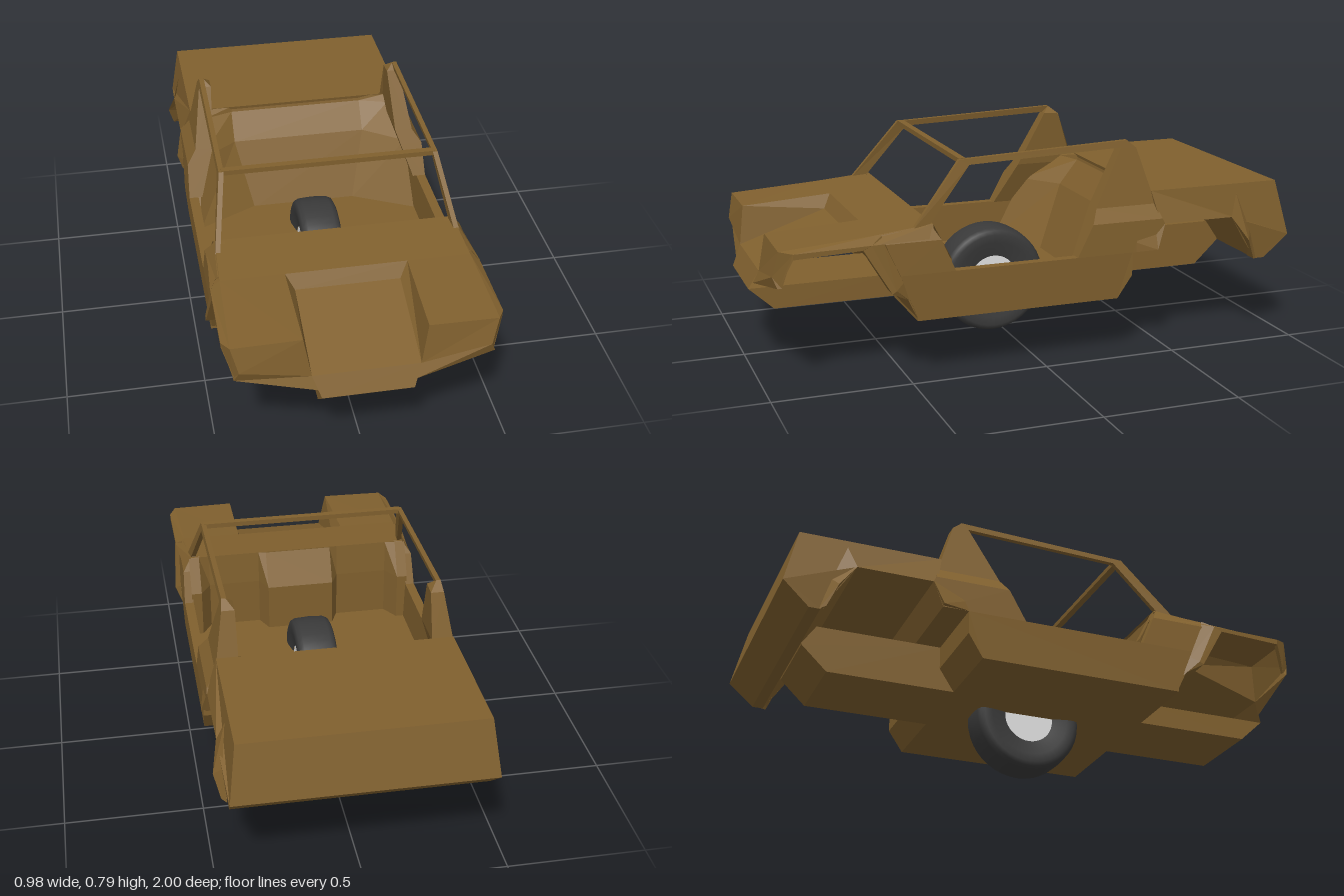
import * as THREE from 'three';

const bodyPaint = new THREE.MeshStandardMaterial({ color: 0x80602e, side: THREE.DoubleSide });
bodyPaint.name = 'bronze body paint';
const rubber = new THREE.MeshStandardMaterial({ color: 0x3a3a3a, side: THREE.DoubleSide });
rubber.name = 'dark rubber';
const hubMetal = new THREE.MeshStandardMaterial({ color: 0xe2e2e2 });
hubMetal.name = 'pale hub metal';

// Piecewise linear curve through [input, output] pairs
const ramp = (pairs) => (v) => {
  if (v <= pairs[0][0]) return pairs[0][1];
  for (let i = 1; i < pairs.length; i++) {
    const [a, p] = pairs[i - 1], [b, q] = pairs[i];
    if (v <= b) return p + ((q - p) * (v - a)) / (b - a);
  }
  return pairs[pairs.length - 1][1];
};

// Half width of the body sides by height
const bodySide = ramp([[0.215, 0.465], [0.33, 0.472], [0.5, 0.465], [0.55, 0.43], [0.785, 0.39]]);

export function createModel() {
  const model = new THREE.Group();
  model.name = 'carBody';

  const add = (name, geometry, material = bodyPaint) => {
    const mesh = new THREE.Mesh(geometry, material);
    mesh.name = name;
    model.add(mesh);
    return mesh;
  };

  // Side outline of [z, y] points, extruded across x between two width rules
  const prism = (name, outline, inner, outer) => {
    const shape = new THREE.Shape(outline.map(([z, y]) => new THREE.Vector2(z, y)));
    const g = new THREE.ExtrudeGeometry(shape, { depth: 1, bevelEnabled: false });
    const p = g.attributes.position;
    for (let i = 0; i < p.count; i++) {
      const z = p.getX(i), y = p.getY(i), t = p.getZ(i);
      p.setXYZ(i, t > 0.5 ? outer(y) : inner(y), y, z);
    }
    g.computeVertexNormals();
    return add(name, g);
  };
  const cross = (name, outline, half) => prism(name, outline, (y) => -half(y), half);
  const pair = (name, outline, inner, outer) => {
    prism(name + 'Left', outline, inner, outer);
    prism(name + 'Right', outline, (y) => -inner(y), (y) => -outer(y));
  };

  // Faceted sheet through rows of [x, y, z] points
  const sheet = (name, rows) => {
    const pos = [];
    for (let r = 0; r + 1 < rows.length; r++) {
      for (let c = 0; c + 1 < rows[r].length; c++) {
        const a = rows[r][c], b = rows[r][c + 1], d = rows[r + 1][c], e = rows[r + 1][c + 1];
        pos.push(...a, ...d, ...b, ...b, ...d, ...e);
      }
    }
    const g = new THREE.BufferGeometry();
    g.setAttribute('position', new THREE.Float32BufferAttribute(pos, 3));
    g.computeVertexNormals();
    return add(name, g);
  };
  const flip = (rows) => rows.map((row) => row.map(([x, y, z]) => [-x, y, z]).reverse());
  const sheetPair = (name, rows) => {
    sheet(name + 'Left', rows);
    sheet(name + 'Right', flip(rows));
  };
  const mirrorRow = (row) => [...row.map(([x, y, z]) => [-x, y, z]).reverse(), ...row];

  // Floor, nose pan and tail pan
  const floor = add('floor', new THREE.BoxGeometry(0.93, 0.02, 0.76));
  floor.position.set(0, 0.225, 0.09);
  cross('nosePan', [[0.91, 0.215], [1, 0.298], [0.5, 0.298], [0.47, 0.215]], () => 0.155);
  cross('tailPan', [[-0.25, 0.215], [-0.765, 0.215], [-0.86, 0.305], [-0.87, 0.385], [-0.345, 0.385]], () => 0.16);

  // Firewall, and dashboard face with two leg recesses
  cross('firewall', [[0.61, 0.5], [0.42, 0.54], [0.42, 0.215], [0.465, 0.215], [0.505, 0.3], [0.62, 0.49]],
    (y) => bodySide(y) - 0.005);
  const dashX = [0.13, 0.16, 0.36, 0.4, 0.44];
  sheet('dashboard', [[0.547, [0.4, 0.41, 0.41, 0.4, 0.4]], [0.42, [0.335, 0.4, 0.4, 0.335, 0.335]],
    [0.235, [0.335, 0.4, 0.4, 0.335, 0.335]]].map(([y, zs]) => mirrorRow(dashX.map((x, i) => [x, y, zs[i]]))));

  // Hood with a sunken centre that is open at the front
  const hoodBreak = [[0.215, 0.53, 0.61], [0.44, 0.53, 0.61], [0.474, 0.505, 0.61]];
  const hoodFront = [[0.21, 0.51, 0.945], [0.45, 0.507, 0.945], [0.475, 0.5, 0.9]];
  sheetPair('hoodSide', [hoodFront, hoodBreak]);
  sheet('hoodRear', [
    mirrorRow(hoodBreak),
    mirrorRow([[0.2, 0.55, 0.4], [0.43, 0.55, 0.4], [0.46, 0.505, 0.4]]),
  ]);
  sheet('hoodRecess', [
    mirrorRow([[0.185, 0.48, 0.64], [0.215, 0.53, 0.61]]),
    mirrorRow([[0.185, 0.37, 0.965], [0.21, 0.51, 0.945]]),
  ]);
  sheet('hoodRecessBack', [
    mirrorRow([[0.215, 0.53, 0.61]]),
    mirrorRow([[0.185, 0.48, 0.64]]),
  ]);

  // Front faces with lamp corners, and nose plate
  sheetPair('frontFace', [
    hoodFront,
    [[0.185, 0.37, 0.965], [0.425, 0.415, 0.965], [0.442, 0.376, 0.935]],
    [[0.165, 0.322, 0.985], [0.442, 0.376, 0.95], [0.442, 0.376, 0.935]],
  ]);
  sheet('nosePlate', [
    [[-0.185, 0.37, 0.965], [0.185, 0.37, 0.965]],
    [[-0.157, 0.298, 1], [0.157, 0.298, 1]],
  ]);

  // Front fenders
  const fenderSide = (y) => (y < 0.45 ? 0.441 : 0.474);
  pair('frontFender', [[0.63, 0.505], [0.9, 0.5], [0.94, 0.385], [0.9, 0.48], [0.66, 0.49]],
    (y) => fenderSide(y) - 0.02, fenderSide);

  // Wheel arch flares: inner return, raised lip, flush edge
  sheetPair('frontFlare', [
    [[0.42, 0.49, 0.66], [0.475, 0.49, 0.66], [0.474, 0.505, 0.63], [0.45, 0.53, 0.59]],
    [[0.42, 0.33, 0.565], [0.49, 0.33, 0.565], [0.49, 0.34, 0.55], [0.47, 0.36, 0.52]],
    [[0.42, 0.298, 0.507], [0.468, 0.298, 0.507], [0.467, 0.295, 0.5], [0.466, 0.28, 0.488]],
  ]);
  sheetPair('rearFlareBack', [
    [[0.4, 0.48, -0.75], [0.465, 0.48, -0.75], [0.437, 0.565, -0.78]],
    [[0.4, 0.385, -0.81], [0.486, 0.39, -0.815], [0.455, 0.42, -0.835]],
    [[0.4, 0.305, -0.86], [0.465, 0.31, -0.85], [0.447, 0.305, -0.87]],
  ]);
  sheetPair('rearFlareFront', [
    [[0.4, 0.48, -0.475], [0.466, 0.48, -0.475], [0.43, 0.55, -0.44]],
    [[0.4, 0.385, -0.44], [0.486, 0.39, -0.44], [0.47, 0.42, -0.36]],
    [[0.4, 0.385, -0.345], [0.472, 0.385, -0.36], [0.472, 0.385, -0.345]],
  ]);

  // Body sides
  const sideInner = (y) => bodySide(y) - 0.035;
  const pillarInner = ramp([[0.385, 0.42], [0.6, 0.346], [0.76, 0.348], [0.785, 0.375]]);
  pair('sill', [[0.53, 0.385], [0.465, 0.215], [-0.29, 0.215], [-0.345, 0.3], [-0.345, 0.385]], sideInner, bodySide);
  pair('cowlSide', [[0.58, 0.5], [0.53, 0.385], [0.33, 0.385], [0.38, 0.5]], sideInner, bodySide);
  pair('cowlShoulder', [[0.58, 0.5], [0.59, 0.53], [0.47, 0.54], [0.41, 0.55], [0.38, 0.5]], sideInner, bodySide);
  pair('quarterPanel', [[-0.13, 0.385], [-0.44, 0.385], [-0.475, 0.48], [-0.465, 0.5], [-0.19, 0.5]],
    pillarInner, bodySide);
  pair('quarterShoulder', [[-0.19, 0.5], [-0.465, 0.5], [-0.45, 0.55], [-0.216, 0.55]], pillarInner, bodySide);

  // Window frame: sloped pillars, roof rails, rear pillars and top bar
  const frameInner = (y) => bodySide(y) - 0.018;
  pair('frontPillar', [[0.47, 0.54], [0.29, 0.76], [0.255, 0.74], [0.41, 0.55]], frameInner, bodySide);
  pair('roofRail', [[0.29, 0.76], [-0.35, 0.785], [-0.325, 0.76], [0.255, 0.74]], frameInner, bodySide);
  pair('rearPillar', [[-0.216, 0.55], [-0.45, 0.55], [-0.435, 0.598], [-0.385, 0.755], [-0.35, 0.785], [-0.325, 0.76]],
    pillarInner, bodySide);
  const bar = add('windshieldTopBar', new THREE.BoxGeometry(0.77, 0.018, 0.025));
  bar.position.set(0, 0.754, 0.277);

  // Cockpit rear bulkhead
  sheet('bulkhead', [
    mirrorRow([[0.26, 0.596, -0.44], [0.36, 0.596, -0.43]]),
    mirrorRow([[0.26, 0.575, -0.435], [0.37, 0.575, -0.4]]),
    mirrorRow([[0.26, 0.48, -0.36], [0.41, 0.48, -0.25]]),
    mirrorRow([[0.2, 0.23, -0.25], [0.43, 0.23, -0.13]]),
  ]);

  // Front walls of the rear wheel wells
  sheetPair('rearWheelWell', [[-0.29, 0.215], [-0.345, 0.3], [-0.345, 0.385], [-0.44, 0.385], [-0.475, 0.48]]
    .map(([z, y]) => [[0, y, z], [0.46, y, z]]));

  // Rear deck, tail panel and rear bumper edge in one block
  cross('rearDeck', [[-0.435, 0.597], [-0.95, 0.597], [-1, 0.39], [-0.905, 0.305], [-0.865, 0.305], [-0.81, 0.385],
    [-0.75, 0.48], [-0.46, 0.48]], ramp([[0.305, 0.445], [0.39, 0.452], [0.48, 0.464], [0.597, 0.425]]));

  // Single central wheel
  const tyreProfile = [[0.095, -0.062], [0.15, -0.075], [0.18, -0.076], [0.195, -0.069], [0.203, -0.052], [0.206, 0],
    [0.203, 0.052], [0.195, 0.069], [0.18, 0.076], [0.15, 0.075], [0.095, 0.062]];
  const wheel = new THREE.Group();
  wheel.name = 'wheel';
  wheel.add(
    add('tyre', new THREE.LatheGeometry(tyreProfile.map(([r, h]) => new THREE.Vector2(r, h)), 40), rubber),
    add('hub', new THREE.CylinderGeometry(0.097, 0.097, 0.12, 32), hubMetal),
  );
  wheel.rotation.z = Math.PI / 2;
  wheel.position.set(0, 0.206, 0.045);
  model.add(wheel);

  return model;
}
